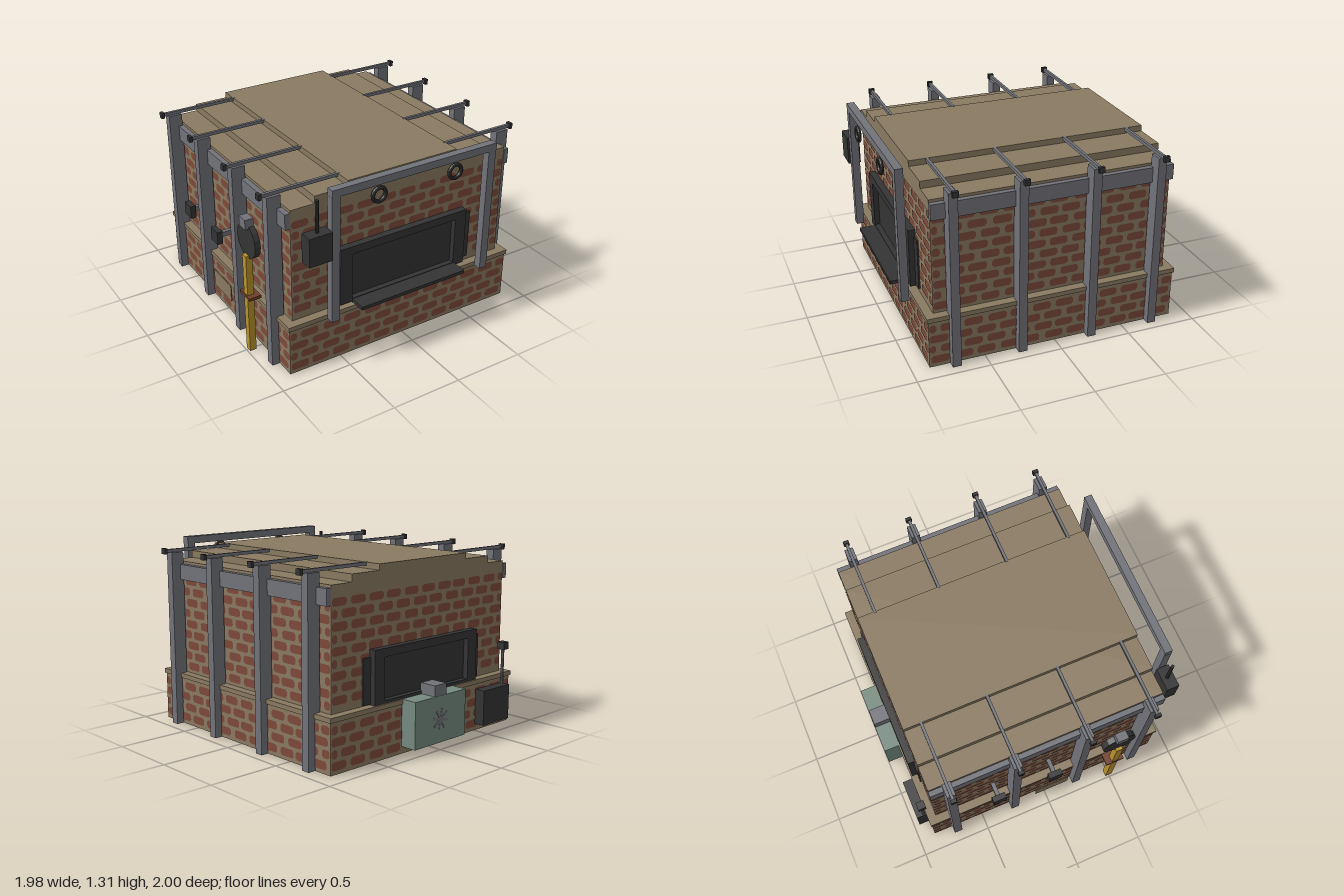
import * as THREE from 'three';
import { mergeGeometries } from 'three/addons/utils/BufferGeometryUtils.js';

const mat = (name, color) => {
  const m = new THREE.MeshStandardMaterial({ color, flatShading: true });
  m.name = name;
  return m;
};

export function createModel() {
  const root = new THREE.Group();
  root.name = 'brickFurnace';
  const mortar = mat('mortar', 0x8a7a62);
  const clay = mat('brick', 0x7d4a3a);
  const steel = mat('steel', 0x72737a);
  const iron = mat('iron', 0x343434);
  const mint = mat('mintPaint', 0x758a7f);
  const yellow = mat('yellowPaint', 0xb8922c);
  const brown = mat('brownBand', 0x70402c);

  const add = (name, geo, material) => {
    const m = new THREE.Mesh(geo, material);
    m.name = name;
    root.add(m);
    return m;
  };
  // Box given by its limits on each axis
  const box = (name, material, x0, x1, y0, y1, z0, z1) => {
    const m = add(name, new THREE.BoxGeometry(x1 - x0, y1 - y0, z1 - z0), material);
    m.position.set((x0 + x1) / 2, (y0 + y1) / 2, (z0 + z1) / 2);
    return m;
  };

  // One flat brick face with clipped corners
  const brickFace = (u0, u1, y0, y1) => {
    const c = Math.min(0.014, (u1 - u0) / 3, (y1 - y0) / 3);
    return new THREE.ShapeGeometry(new THREE.Shape([
      [u0 + c, y0], [u1 - c, y0], [u1, y0 + c], [u1, y1 - c],
      [u1 - c, y1], [u0 + c, y1], [u0, y1 - c], [u0, y0 + c],
    ].map(p => new THREE.Vector2(...p))));
  };
  let seed = 7;
  const rand = () => (seed = (seed * 16807) % 2147483647) / 2147483647;
  // Running-bond bricks on a wall at distance d, turned about y
  const bricks = (name, half, yMin, yMax, firstRow, d, angle) => {
    const parts = [];
    for (let row = 0; firstRow + row * 0.0768 < yMax; row++) {
      const y = firstRow + row * 0.0768;
      const y0 = Math.max(yMin, y - 0.028), y1 = Math.min(yMax, y + 0.028);
      for (let u = -half - 0.16 + (row % 2) * 0.08; u < half; u += 0.16) {
        const s = (rand() - 0.5) * 0.014;
        const u0 = Math.max(-half, u + s), u1 = Math.min(half, u + s + 0.127);
        if (u1 - u0 > 0.025 && y1 - y0 > 0.015) parts.push(brickFace(u0, u1, y0, y1));
      }
    }
    const g = mergeGeometries(parts);
    g.translate(0, 0, d);
    g.rotateY(angle);
    add(name, g, clay);
  };

  // Base: thin walls, open below, closed by the ledge
  for (const s of [-1, 1]) {
    box('baseSideWall', mortar, s * 0.87 - 0.01, s * 0.87 + 0.01, 0, 0.34, -0.88, 0.88);
    box('baseEndWall', mortar, -0.86, 0.86, 0, 0.34, s * 0.87 - 0.01, s * 0.87 + 0.01);
  }
  box('ledge', mortar, -0.89, 0.89, 0.338, 0.37, -0.89, 0.89);
  box('body', mortar, -0.83, 0.83, 0.36, 1.09, -0.83, 0.83);
  for (let i = 0; i < 4; i++) {
    const a = i * Math.PI / 2, end = i % 2 === 0;
    bricks('baseBricks', 0.875, 0, 0.335, 0.055, 0.883, a);
    bricks('innerBaseBricks', 0.85, 0, 0.335, 0.055, -0.857, a);
    bricks('bodyBricks', 0.825, 0.37, 1.088, end ? 0.45 : 0.42, 0.833, a);
  }

  // Stepped roof
  [[0.83, 1.09, 1.17], [0.66, 1.17, 1.22], [0.42, 1.22, 1.26]].forEach(([w, a, b]) =>
    box('roofStep', mortar, -w, w, a, b, -0.833, 0.833));

  // Buckstays, side rails and tie rods
  for (const s of [-1, 1]) {
    const sideBox = (name, m, x0, x1, ...r) =>
      box(name, m, Math.min(s * x0, s * x1), Math.max(s * x0, s * x1), ...r);
    sideBox('sideRail', steel, 0.832, 0.868, 1.045, 1.152, -0.835, 0.835);
    for (const z of [-0.71, -0.25, 0.25, 0.71]) {
      sideBox('column', steel, 0.84, 0.935, 0, 1.24, z - 0.03, z + 0.03);
      sideBox('tieRod', steel, 0.41, 0.975, 1.24, 1.262, z - 0.01, z + 0.01);
      sideBox('tieRodNut', iron, 0.962, 0.985, 1.23, 1.27, z - 0.02, z + 0.02);
    }
  }

  // Furnace mouths at front and back
  const mouth = (name, s, y0, y1) => {
    const zBox = (n, x0, x1, a, b, z0, z1) =>
      box(n, iron, x0, x1, a, b, Math.min(s * z0, s * z1), Math.max(s * z0, s * z1));
    zBox(name + 'BackPlate', -0.565, 0.565, y0 + 0.01, y1 - 0.05, 0.825, 0.842);
    for (const k of [-1, 1]) zBox(name + 'Jamb', k * 0.455 - 0.045, k * 0.455 + 0.045, y0, y1, 0.83, 0.88);
    zBox(name + 'Lintel', -0.41, 0.41, y1 - 0.055, y1, 0.83, 0.88);
    zBox(name + 'Sill', -0.41, 0.41, y0, y0 + 0.025, 0.83, 0.88);
  };
  mouth('frontMouth', 1, 0.395, 0.81);
  mouth('backMouth', -1, 0.365, 0.73);
  box('frontTray', iron, -0.41, 0.42, 0.392, 0.416, 0.87, 0.995);

  // Lifting gantry with rings and counterweight
  for (const s of [-1, 1]) {
    box('gantryPost', steel, s * 0.597 - 0.029, s * 0.597 + 0.029, 0.37, 1.262, 0.925, 0.98);
    add('gantryRing', new THREE.TorusGeometry(0.047, 0.014, 8, 20), iron).position.set(s * 0.292, 1.197, 0.985);
  }
  box('gantryBeam', steel, -0.625, 0.63, 1.258, 1.31, 0.925, 0.98);
  box('counterweight', iron, -0.795, -0.63, 0.84, 1.04, 0.905, 0.995);
  add('counterweightRod', new THREE.CylinderGeometry(0.012, 0.012, 0.22, 8), iron).position.set(-0.71, 1.15, 0.945);

  // Blower on the back wall
  box('blowerCase', mint, -0.25, 0.25, 0.05, 0.37, -0.998, -0.875);
  box('blowerOutlet', steel, -0.055, 0.06, 0.37, 0.445, -0.995, -0.87);
  for (let i = 0; i < 4; i++) {
    const blade = box('fanBlade', steel, -0.075, 0.075, 0.2, 0.216, -1, -0.997);
    blade.rotation.z = i * Math.PI / 4 + 0.2;
  }

  // Control box with lever on the back wall
  box('controlBox', iron, -0.785, -0.5, 0.05, 0.3, -0.96, -0.885);
  add('leverRod', new THREE.CylinderGeometry(0.011, 0.011, 0.27, 8), steel).position.set(-0.77, 0.43, -0.905);
  box('leverHandle', iron, -0.8, -0.745, 0.55, 0.603, -0.932, -0.875);

  // Yellow stand pipe with gauge on the right wall
  box('standPipe', yellow, -0.985, -0.938, 0, 0.735, 0.475, 0.525);
  box('standPipeBand', brown, -0.992, -0.905, 0.422, 0.442, 0.43, 0.565);
  const gauge = add('gaugeDisc', new THREE.CylinderGeometry(0.122, 0.122, 0.04, 16), iron);
  gauge.rotation.z = Math.PI / 2;
  gauge.position.set(-0.942, 0.835, 0.495);
  box('gaugeCap', steel, -0.985, -0.925, 0.935, 1.005, 0.455, 0.535);

  // Small switch boxes and a cover plate on the right wall
  for (const z of [-0.39, 0.03]) {
    box('switchBox', iron, -0.97, -0.93, 0.59, 0.685, z - 0.048, z + 0.048);
    box('switchMount', steel, -0.932, -0.83, 0.62, 0.655, z - 0.015, z + 0.015);
  }
  box('coverPlate', mortar, -0.934, -0.927, 0.17, 0.295, -0.09, 0.165);

  return root;
}
